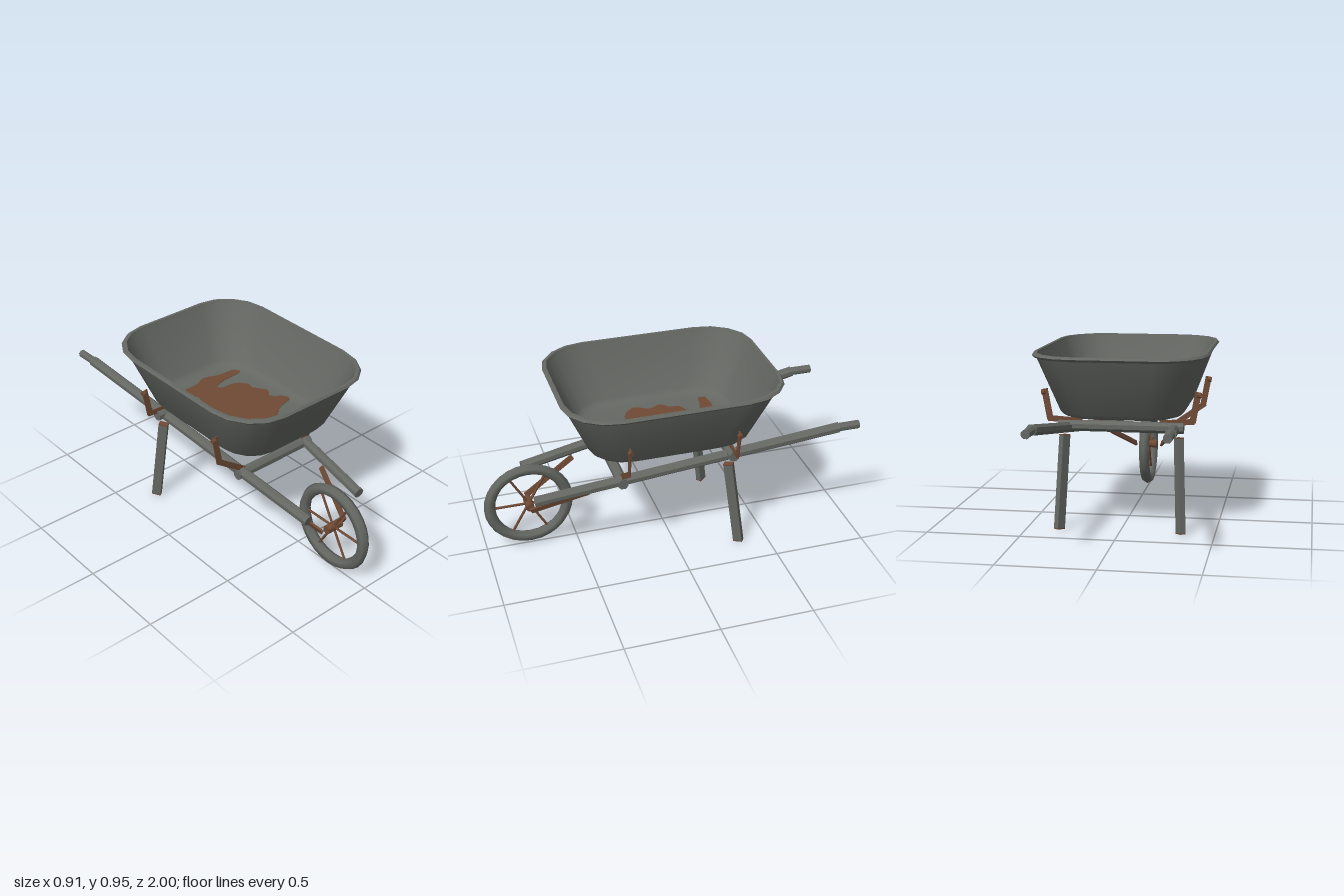
import * as THREE from 'three';
import { toCreasedNormals } from 'three/addons/utils/BufferGeometryUtils.js';

const steel = new THREE.MeshStandardMaterial({ color: 0x646762 });
steel.name = 'grey steel';
const rust = new THREE.MeshStandardMaterial({ color: 0x6f4a35 });
rust.name = 'brown rust';

const UP = new THREE.Vector3(0, 1, 0);

function add(parent, name, geometry, material, x = 0, y = 0, z = 0) {
  const m = new THREE.Mesh(geometry, material);
  m.name = name;
  m.position.set(x, y, z);
  parent.add(m);
  return m;
}

// Places a geometry made along y so that it spans a to b
function span(parent, name, a, b, makeGeometry, material) {
  const p = new THREE.Vector3(...a), q = new THREE.Vector3(...b);
  const d = q.clone().sub(p);
  const m = add(parent, name, makeGeometry(d.length()), material);
  m.position.copy(p).add(q).multiplyScalar(0.5);
  m.quaternion.setFromUnitVectors(UP, d.normalize());
  return m;
}

const box = (w, d) => (len) => new THREE.BoxGeometry(w, len, d);
const rod = (r, sides) => (len) =>
  toCreasedNormals(new THREE.CylinderGeometry(r, r, len, sides).rotateY(Math.PI / sides), 0.6);

// Rounded rectangular loop in the xz plane
function loop(hx, hz, y) {
  const rx = hx * 0.53, rz = hz * 0.45, n = 4, pts = [];
  for (let q = 0; q < 4; q++) {
    const cx = (q === 0 || q === 3 ? 1 : -1) * (hx - rx);
    const cz = (q < 2 ? 1 : -1) * (hz - rz);
    for (let i = 0; i <= n; i++) {
      const a = (q + i / n) * Math.PI / 2;
      pts.push([cx + rx * Math.cos(a), y, cz + rz * Math.sin(a)]);
    }
  }
  return pts;
}

// Tub skin: up the outside, over the rim and down the inside
function tubGeometry() {
  const sections = [
    [0.25, 0.36, 0.6], [0.285, 0.395, 0.603], [0.312, 0.425, 0.613], [0.328, 0.442, 0.632],
    [0.436, 0.572, 0.922], [0.446, 0.583, 0.922], [0.457, 0.593, 0.934], [0.449, 0.585, 0.945],
    [0.434, 0.57, 0.945], [0.426, 0.562, 0.922],
    [0.318, 0.432, 0.645], [0.302, 0.415, 0.624], [0.275, 0.39, 0.613], [0.25, 0.36, 0.61],
  ];
  const pos = [], idx = [], n = 20;
  for (const s of sections) for (const p of loop(...s)) pos.push(...p);
  const last = sections.length - 1;
  for (let i = 0; i < last; i++) {
    for (let j = 0; j < n; j++) {
      const a = i * n + j, b = i * n + (j + 1) % n;
      idx.push(a, a + n, b, b, a + n, b + n);
    }
  }
  // Underside and floor
  const under = pos.length / 3;
  pos.push(0, 0.6, 0, 0, 0.61, 0);
  for (let j = 0; j < n; j++) {
    const k = (j + 1) % n;
    idx.push(under, j, k, under + 1, last * n + k, last * n + j);
  }
  const g = new THREE.BufferGeometry();
  g.setAttribute('position', new THREE.Float32BufferAttribute(pos, 3));
  g.setIndex(idx);
  return toCreasedNormals(g, 0.7);
}

// Irregular rust stain, lying flat as a thin plate
function stainGeometry() {
  const outline = [
    [-0.23, -0.32], [-0.15, -0.33], [-0.03, -0.33], [0.05, -0.36], [0.14, -0.33], [0.25, -0.32],
    [0.25, -0.28], [0.14, -0.27], [0.06, -0.25], [0.06, -0.215], [0.15, -0.205], [0.2, -0.15],
    [0.195, -0.105], [0.24, -0.03], [0.21, 0.02], [0.27, 0.075], [0.27, 0.115], [0.18, 0.14],
    [0.11, 0.19], [0.05, 0.22], [-0.03, 0.17], [-0.15, 0.17], [-0.22, 0.115], [-0.22, 0.07],
    [-0.19, 0.015], [-0.22, -0.05], [-0.18, -0.095], [-0.17, -0.15], [-0.11, -0.185],
    [-0.1, -0.24], [-0.17, -0.27], [-0.23, -0.28],
  ].map(([x, z]) => new THREE.Vector2(x, z));
  const pts = new THREE.SplineCurve([...outline, outline[0]]).getPoints(96).slice(0, -1);
  return new THREE.ExtrudeGeometry(new THREE.Shape(pts), { depth: 0.004, bevelEnabled: false })
    .rotateX(Math.PI / 2);
}

function buildWheel() {
  const wheel = new THREE.Group();
  wheel.name = 'wheel';
  wheel.position.set(0, 0.253, 0.755);
  add(wheel, 'tire', new THREE.TorusGeometry(0.213, 0.031, 6, 28).rotateY(Math.PI / 2), steel);
  span(wheel, 'hub', [-0.05, 0, 0], [0.05, 0, 0], rod(0.023, 12), rust);
  for (let i = 0; i < 6; i++) {
    const a = i * Math.PI / 3;
    span(wheel, 'spoke', [0, 0, 0], [0, Math.sin(a) * 0.195, Math.cos(a) * 0.195], rod(0.007, 6), rust);
  }
  return wheel;
}

export function createModel() {
  const model = new THREE.Group();
  model.name = 'wheelbarrow';

  // Tub with stains on the floor and the underside
  add(model, 'tub', tubGeometry(), steel, 0, 0, 0.006);
  add(model, 'floorStain', stainGeometry(), rust, 0, 0.613, 0);
  add(model, 'undersideStain', stainGeometry(), rust, 0, 0.602, 0);

  model.add(buildWheel());

  // Cross beams
  span(model, 'frontCrossBeam', [-0.255, 0.443, 0.29], [0.255, 0.443, 0.29], rod(0.03, 8), steel);
  span(model, 'rearCrossBeam', [-0.33, 0.553, -0.295], [0.33, 0.553, -0.295], rod(0.03, 8), steel);

  for (const s of [1, -1]) {
    const side = new THREE.Group();
    side.name = s > 0 ? 'leftSide' : 'rightSide';
    model.add(side);

    // Long shaft and its grip
    span(side, 'shaft', [s * 0.18, 0.377, 0.753], [s * 0.333, 0.635, -0.885], rod(0.029, 8), steel);
    span(side, 'grip', [s * 0.333, 0.635, -0.875], [s * 0.333, 0.635, -1], rod(0.023, 8), steel);

    // Leg with rusty ends
    const top = [s * 0.302, 0.497, -0.275], foot = [s * 0.323, 0.003, -0.34];
    const leg = span(side, 'leg', top, foot, box(0.032, 0.05), steel);
    const half = leg.geometry.parameters.height / 2;
    for (const e of [1, -1]) {
      add(leg, 'legEnd', new THREE.BoxGeometry(0.033, 0.006, 0.051), rust, 0, e * half, 0);
    }

    // Wheel fork
    span(side, 'forkArm', [s * 0.078, 0.253, 0.757], [s * 0.185, 0.385, 0.465], box(0.012, 0.03), rust);

    // Flat brackets holding the tub
    for (const [z, x0, y0] of [[0.29, 0.21, 0.463], [-0.295, 0.205, 0.577]]) {
      const bracket = new THREE.Group();
      bracket.name = 'bracket';
      bracket.position.z = z;
      side.add(bracket);
      span(bracket, 'bracketArm', [s * x0, y0, 0], [s * 0.385, 0.588, 0], box(0.03, 0.007), rust);
      span(bracket, 'bracketUpright', [s * 0.375, 0.583, 0], [s * 0.404, 0.743, 0], box(0.033, 0.007), rust);
      span(bracket, 'bracketBolt', [s * 0.4, 0.728, 0], [s * 0.42, 0.725, 0], rod(0.014, 8), rust);
    }
  }
  return model;
}
